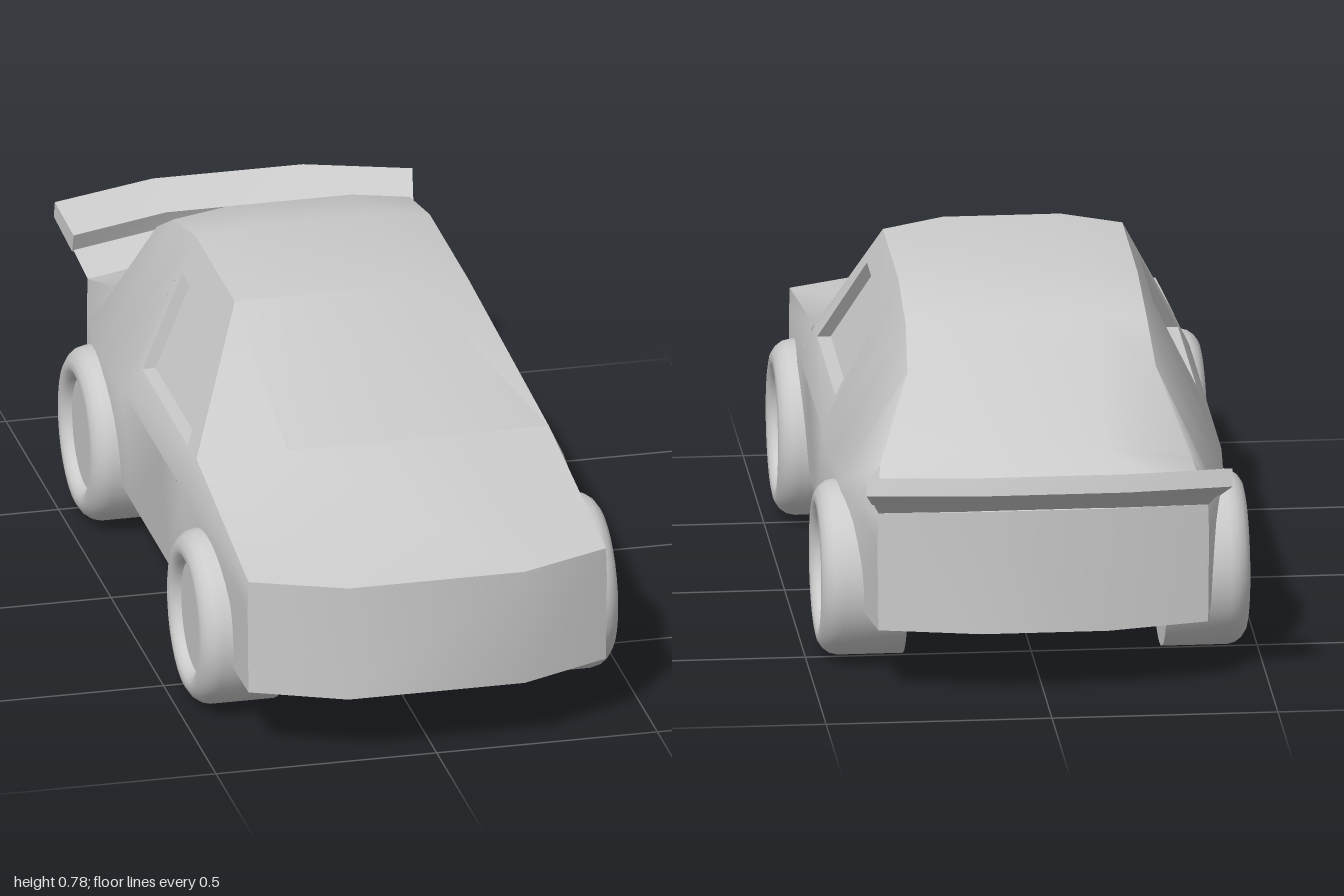
import * as THREE from 'three';
import { mergeGeometries, toCreasedNormals } from 'three/addons/utils/BufferGeometryUtils.js';

const grey = new THREE.MeshStandardMaterial({ color: 0xcccccc });
const greyBoth = new THREE.MeshStandardMaterial({ color: 0xcccccc, side: THREE.DoubleSide });
const FLOOR = 0.15;

function named(geometry, name, material = grey) {
  const mesh = new THREE.Mesh(geometry, material);
  mesh.name = name;
  return mesh;
}

function fromTriangles(points, tris) {
  const g = new THREE.BufferGeometry();
  g.setAttribute('position', new THREE.Float32BufferAttribute(tris.flatMap((i) => points[i]), 3));
  return g;
}

// Cross-sections from nose to tail:
// centre z, edge z, inner half width, centre y, edge half width, edge y, belt half width, belt y, sill half width
const stations = [
  [1.0, 0.91, 0.2, 0.417, 0.405, 0.415, 0.407, 0.35, 0.405],
  [0.42, 0.39, 0.2, 0.503, 0.399, 0.49, 0.432, 0.42, 0.41],
  [0.22, 0.19, 0.13, 0.785, 0.265, 0.77, 0.432, 0.42, 0.412],
  [-0.18, -0.18, 0.13, 0.785, 0.265, 0.77, 0.432, 0.42, 0.412],
  [-0.4, -0.38, 0.14, 0.737, 0.267, 0.727, 0.432, 0.42, 0.412],
  [-0.55, -0.51, 0.15, 0.66, 0.275, 0.655, 0.424, 0.41, 0.405],
  [-0.635, -0.61, 0.15, 0.51, 0.345, 0.475, 0.403, 0.39, 0.39],
  [-0.84, -0.79, 0.14, 0.432, 0.365, 0.42, 0.367, 0.35, 0.365],
];

function ring([zc, ze, xi, yc, xe, ye, xs, ys, xb]) {
  const half = [[xi, FLOOR, zc], [xb, FLOOR, ze], [xs, ys, ze], [xe, ye, ze], [xi, yc, zc]];
  return [...half, ...half.map(([x, y, z]) => [-x, y, z]).reverse()];
}

// Lofted shell, leaving the door side strips open for the window panels
function bodyShell() {
  const N = 10;
  const points = stations.flatMap(ring);
  const tris = [];
  for (let i = 0; i < stations.length - 1; i++) {
    for (let j = 0; j < N; j++) {
      if ((i === 1 || i === 2) && (j === 2 || j === 6)) continue;
      const a = i * N + j, b = i * N + (j + 1) % N, c = b + N, d = a + N;
      tris.push(a, d, c, a, c, b);
    }
  }
  const cap = [9, 0, 4, 9, 4, 5, 0, 1, 2, 0, 2, 3, 0, 3, 4, 9, 5, 6, 9, 6, 7, 9, 7, 8];
  const last = (stations.length - 1) * N;
  tris.push(...cap, ...cap.map((i) => last + i).reverse());
  return fromTriangles(points, tris);
}

// Sloping side plane of the cabin
const sideX = (y) => 0.265 + (0.77 - y) * 0.477;
const windowLoop = [[0.31, 0.488], [-0.125, 0.488], [-0.16, 0.695], [0.185, 0.695]];
const DEPTH = 0.03;

// Flat shape in (z, y) laid onto the side plane of either side
function sidePanel(shape, side, inset) {
  const g = new THREE.ShapeGeometry(shape);
  const p = g.attributes.position;
  const points = [];
  for (let i = 0; i < p.count; i++) {
    points.push([side * (sideX(p.getY(i)) - inset), p.getY(i), p.getX(i)]);
  }
  const tris = [...g.index.array];
  return fromTriangles(points, side > 0 ? tris.reverse() : tris);
}

function windowShape() {
  return new THREE.Shape(windowLoop.map(([z, y]) => new THREE.Vector2(z, y)));
}

function doorPanel(side) {
  const outline = [[0.39, 0.42], [0.39, 0.49], [0.19, 0.77], [-0.18, 0.77], [-0.18, 0.42]];
  const shape = new THREE.Shape(outline.map(([z, y]) => new THREE.Vector2(z, y)));
  shape.holes.push(windowShape());
  return sidePanel(shape, side, 0);
}

// Reveal walls around a window
function windowReveal(side) {
  const points = [0, DEPTH].flatMap((d) => windowLoop.map(([z, y]) => [side * (sideX(y) - d), y, z]));
  const tris = [];
  for (let i = 0; i < 4; i++) {
    const j = (i + 1) % 4;
    tris.push(i, j, j + 4, i, j + 4, i + 4);
  }
  return toCreasedNormals(fromTriangles(points, tris), 0.3);
}

// Curved rear wing: one section repeated across the width, plus the sheet holding it
function spoiler() {
  const group = new THREE.Group();
  group.name = 'spoiler';
  const section = [[-0.895, 0.515], [-0.99, 0.557], [-1.0, 0.518], [-0.91, 0.47]];
  const across = [-1, -0.42, 0.42, 1];
  const points = [], tris = [], sheet = [], sheetTris = [];
  across.forEach((t, i) => {
    const end = Math.abs(t) === 1;
    const dz = end ? 0.055 : 0, dy = end ? -0.01 : 0;
    section.forEach(([z, y], k) => {
      const w = k === 1 || k === 2 ? 0.405 : 0.385;
      points.push([t * w, y + dy, z + dz]);
    });
    sheet.push([t * 0.365, end ? 0.42 : 0.432, end ? -0.79 : -0.835]);
    sheet.push([t * 0.383, 0.475 + dy, -0.912 + dz]);
    if (i === 3) return;
    for (let k = 0; k < 4; k++) {
      const a = i * 4 + k, b = i * 4 + (k + 1) % 4;
      tris.push(a, a + 4, b + 4, a, b + 4, b);
    }
    const s = i * 2;
    sheetTris.push(s, s + 2, s + 3, s, s + 3, s + 1);
  });
  tris.push(0, 1, 2, 0, 2, 3, 12, 14, 13, 12, 15, 14);
  group.add(
    named(toCreasedNormals(fromTriangles(points, tris), 0.5), 'spoilerBlade', greyBoth),
    named(toCreasedNormals(fromTriangles(sheet, sheetTris), 0.5), 'spoilerSupport', greyBoth),
  );
  return group;
}

// Tyre with rounded shoulder and a recessed hub disc
function wheel(side, z, name) {
  const group = new THREE.Group();
  group.name = name;
  const profile = [[0, 0], [0.195, 0], [0.195, 0.143], [0.191, 0.16], [0.18, 0.175], [0.165, 0.185],
    [0.15, 0.188], [0.138, 0.184], [0.128, 0.174], [0.125, 0.16]];
  const tyre = new THREE.LatheGeometry(profile.map(([r, h]) => new THREE.Vector2(r, h)), 32);
  const hub = new THREE.CircleGeometry(0.126, 32).rotateX(-Math.PI / 2).translate(0, 0.162, 0);
  group.add(named(toCreasedNormals(tyre, 0.7), 'tyre'), named(hub, 'hub'));
  group.rotation.z = -side * Math.PI / 2;
  group.position.set(side * 0.287, 0.197, z);
  return group;
}

export function createModel() {
  const car = new THREE.Group();
  car.name = 'car';

  // Shell and door panels share smoothed normals
  const parts = [bodyShell(), doorPanel(1), doorPanel(-1)];
  car.add(named(toCreasedNormals(mergeGeometries(parts), 0.76), 'body'));

  for (const [side, label] of [[1, 'left'], [-1, 'right']]) {
    const glass = sidePanel(windowShape(), side, DEPTH);
    glass.computeVertexNormals();
    car.add(named(glass, label + 'Window', greyBoth));
    car.add(named(windowReveal(side), label + 'WindowFrame', greyBoth));
    car.add(wheel(side, 0.58, label + 'FrontWheel'), wheel(side, -0.46, label + 'RearWheel'));
  }
  car.add(spoiler());
  return car;
}
